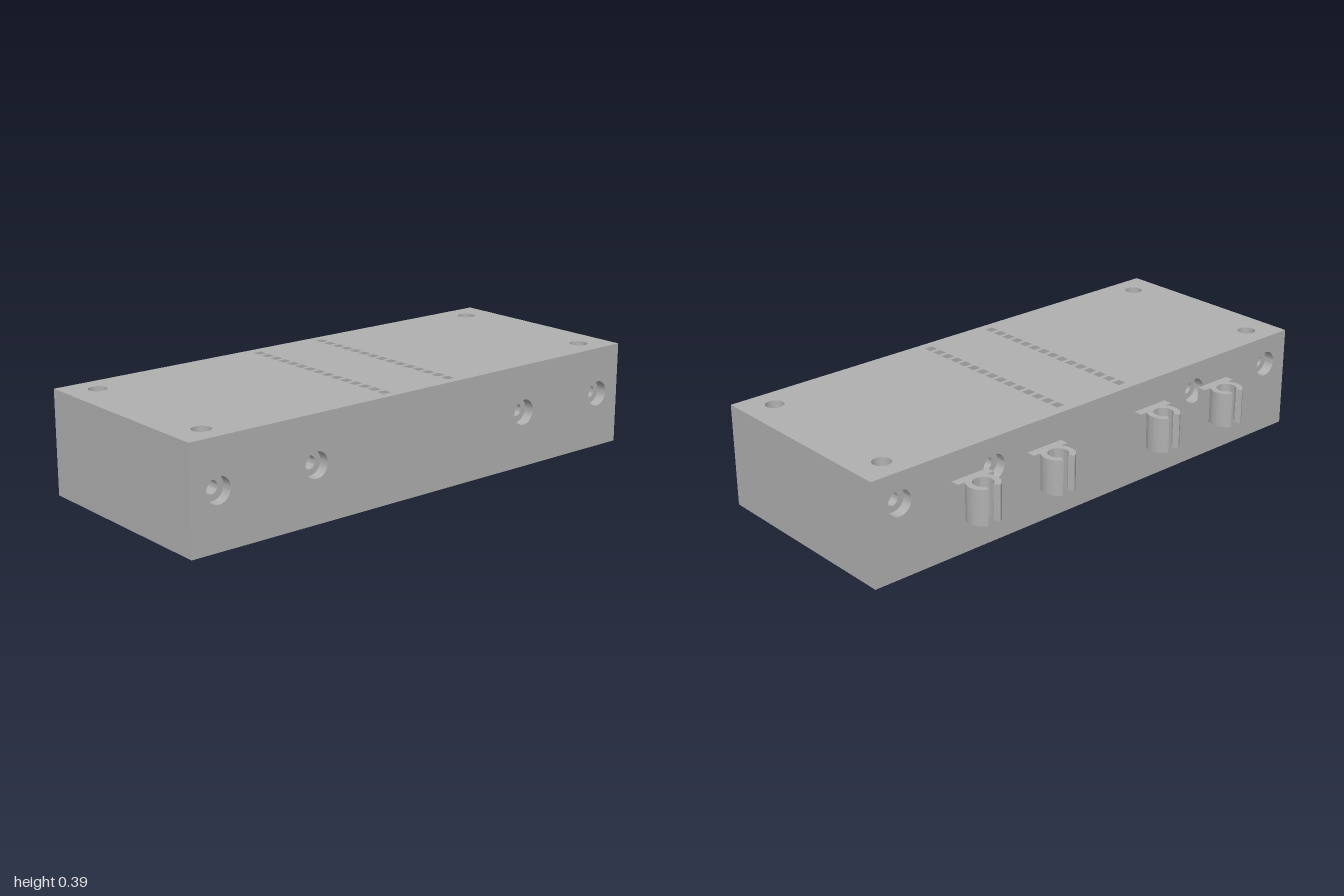
import * as THREE from 'three';
import { toCreasedNormals } from 'three/addons/utils/BufferGeometryUtils.js';

const CX = 0.0625, HALF_W = 0.4075, INNER = 0.3475; // centre and half widths of the case in x
const WALL = HALF_W - INNER, H = 0.39, ROOF = 0.33;
const BORES = [-0.89, -0.49, 0.49, 0.89];

export function createModel() {
  const model = new THREE.Group();
  model.name = 'enclosure';
  const gray = new THREE.MeshStandardMaterial({ color: 0xb0b0b0 });
  gray.name = 'gray plastic';

  const add = (name, geometry, parent = model) => {
    const mesh = new THREE.Mesh(geometry, gray);
    mesh.name = name;
    parent.add(mesh);
    return mesh;
  };
  const rect = (x0, y0, x1, y1, Type = THREE.Shape) => new Type([
    new THREE.Vector2(x0, y0), new THREE.Vector2(x1, y0),
    new THREE.Vector2(x1, y1), new THREE.Vector2(x0, y1)]);
  const circle = (x, y, r, Type = THREE.Path) => new Type().absarc(x, y, r, 0, Math.PI * 2);
  const extrude = (shape, depth) => toCreasedNormals(
    new THREE.ExtrudeGeometry(shape, { depth, bevelEnabled: false, curveSegments: 20 }), 0.6);
  // Horizontal plate rising from y; shape is in (x, -z)
  const slab = (shape, y, height) => extrude(shape, height).rotateX(-Math.PI / 2).translate(0, y, 0);
  // Upright plate growing towards +x from x; shape is in (-z, y)
  const upright = (shape, x, depth) => extrude(shape, depth).rotateY(Math.PI / 2).translate(x, 0, 0);

  // Lid with corner screw holes and two rows of pin slots
  const lid = rect(CX - HALF_W, -1, CX + HALF_W, 1);
  for (const s of [-1, 1]) {
    for (const x of [-0.31, 0.31]) lid.holes.push(circle(CX + x, s * 0.883, 0.034));
    for (let i = -7; i <= 7; i++) {
      const x = CX + 0.002 + i * 0.0505, z = s * 0.15;
      lid.holes.push(rect(x - 0.017, z - 0.017, x + 0.017, z + 0.017, THREE.Path));
    }
  }
  add('lid', slab(lid, ROOF, H - ROOF));

  // Floor of the middle chamber with two round openings
  const floor = rect(CX - INNER, -0.44, CX + INNER, 0.44);
  for (const z of [-0.175, 0.175]) floor.holes.push(circle(CX, z, 0.1));
  add('chamberFloor', slab(floor, 0, 0.06));

  // End walls and partitions between the chambers
  for (const s of [-1, 1]) {
    add('endWall', new THREE.BoxGeometry(INNER * 2, ROOF, 0.06).translate(CX, ROOF / 2, s * 0.97));
    add('partition', new THREE.BoxGeometry(INNER * 2, ROOF - 0.06, 0.06)
      .translate(CX, (ROOF + 0.06) / 2, s * 0.41));
  }

  // Side walls: wide counterbores outside, narrow bores and bosses inside
  for (const s of [-1, 1]) {
    const side = new THREE.Group();
    side.name = s > 0 ? 'leftWall' : 'rightWall';
    model.add(side);
    const y = s > 0 ? 0.21 : 0.278;
    const layer = (name, r, from, depth) => {
      const shape = rect(-1, 0, 1, ROOF);
      for (const z of BORES) shape.holes.push(circle(z, y, r));
      const x0 = CX + s * from;
      add(name, upright(shape, s > 0 ? x0 : x0 - depth, depth), side);
    };
    layer('outerWallLayer', 0.048, INNER + 0.02, WALL - 0.02);
    layer('innerWallLayer', 0.024, INNER, 0.02);
    for (const z of BORES) {
      const ring = circle(z, y, 0.055, THREE.Shape);
      ring.holes.push(circle(z, y, 0.024));
      const x0 = CX + s * INNER;
      add('screwBoss', upright(ring, s > 0 ? x0 - 0.038 : x0, 0.038), side);
    }
  }

  // Open ring clips on the right side
  const a = Math.PI - 0.45, R = 0.061, r = 0.037;
  const ring = new THREE.Shape();
  ring.absarc(0, 0, R, -a, a, false);
  ring.absarc(0, 0, r, a, -a, true);
  ring.closePath();
  for (const z of [-0.597, -0.262, 0.254, 0.59]) {
    const clip = new THREE.Group();
    clip.name = 'cableClip';
    clip.position.z = z;
    model.add(clip);
    add('clipBase', new THREE.BoxGeometry(0.034, 0.135, 0.156).translate(-0.362, 0.2175, 0), clip);
    add('clipRing', slab(ring, 0.15, 0.135).translate(-0.416, 0, 0), clip);
  }
  return model;
}
